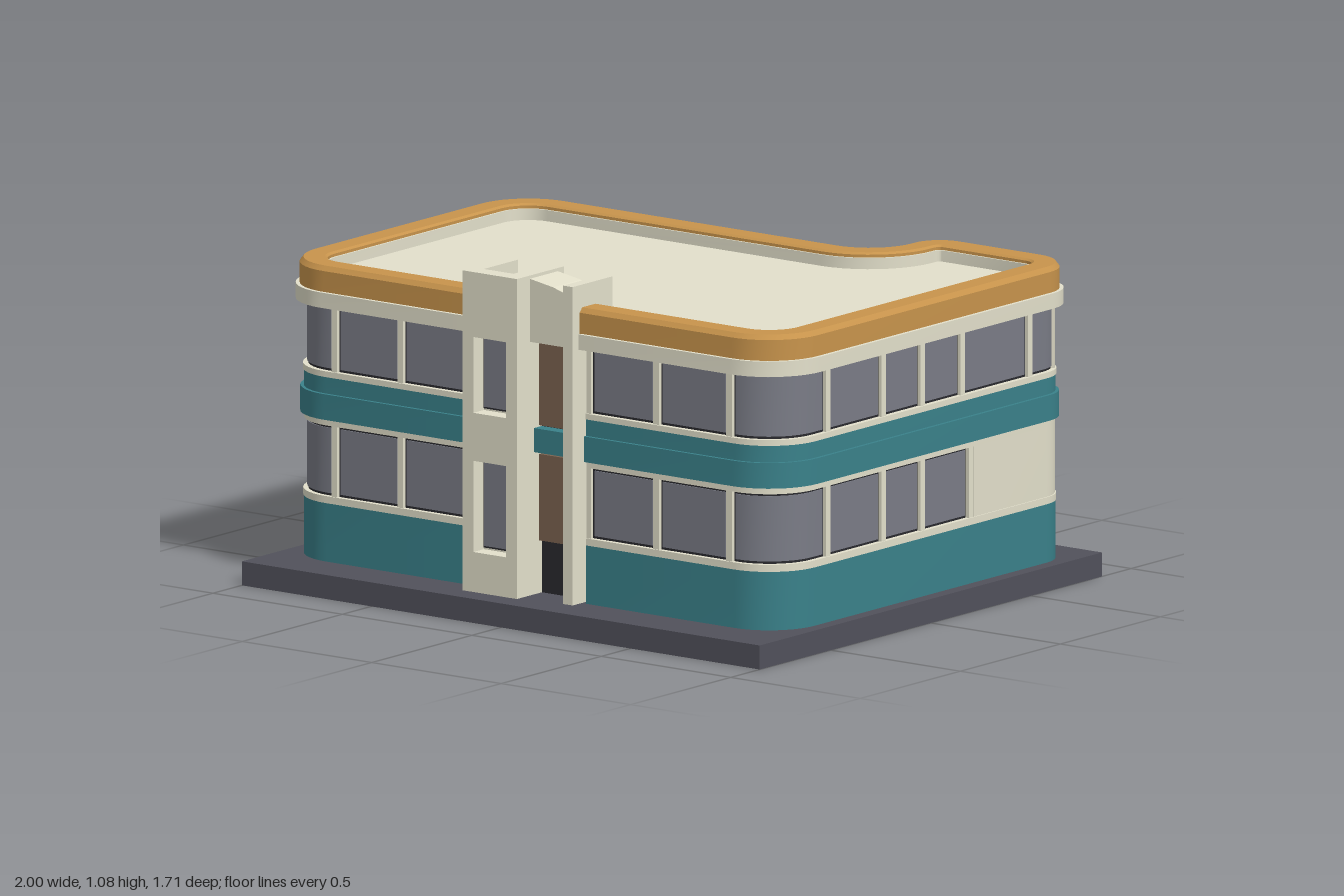
import * as THREE from 'three';
import { toCreasedNormals } from 'three/addons/utils/BufferGeometryUtils.js';

const mat = (name, color) => Object.assign(new THREE.MeshStandardMaterial({ color }), { name });
const M = {
  cream: mat('cream plaster', 0xe3e0cb),
  teal: mat('teal tile', 0x3a818a),
  ochre: mat('ochre parapet', 0xc8944c),
  slab: mat('slate slab', 0x51515b),
  glass: mat('grey glass', 0x7a7c86),
  dark: mat('dark frame', 0x2a2a2e),
  brown: mat('brown door', 0x7c6350),
  earth: mat('dark earth', 0x625244),
};

// Footprint in (x, -z), counterclockwise from the middle of the front.
// Each corner: centre x, centre y, radius, start and end angle in degrees.
const RIGHT = 0.952;
const CORNERS = [
  [RIGHT - 0.17, -0.525, 0.17, -90, 0],
  [RIGHT - 0.12, 0.635, 0.12, 0, 90],
  [0.52, 0.665, 0.09, 90, 180],
  [0.26, 0.65, 0.17, 0, -90], // concave
  [-0.795, 0.31, 0.17, 90, 180],
  [-0.795, -0.525, 0.17, 180, 270],
];
const path = [{ x: 0, y: -0.695, nx: 0, ny: -1 }];
for (const [cx, cy, r, a0, a1] of CORNERS) {
  const sign = a1 > a0 ? 1 : -1;
  for (let i = 0; i <= 10; i++) {
    const a = THREE.MathUtils.degToRad(a0 + ((a1 - a0) * i) / 10);
    const c = Math.cos(a), s = Math.sin(a);
    path.push({ x: cx + r * c, y: cy + r * s, nx: sign * c, ny: sign * s });
  }
}
path.push({ x: 0, y: -0.695, nx: 0, ny: -1 });
path.forEach((p, i) => {
  p.s = i ? path[i - 1].s + Math.hypot(p.x - path[i - 1].x, p.y - path[i - 1].y) : 0;
});
const LEN = path[path.length - 1].s;

// Point on the footprint at distance s
function pointAt(s) {
  let i = 1;
  while (i < path.length - 1 && path[i].s < s) i++;
  const a = path[i - 1], b = path[i], t = (s - a.s) / (b.s - a.s || 1);
  const mix = (k) => a[k] + (b[k] - a[k]) * t;
  return { x: mix('x'), y: mix('y'), nx: mix('nx'), ny: mix('ny'), s };
}

// Distance along the footprint of the point nearest to (x, z)
function at(x, z) {
  let best = 0, min = Infinity;
  for (let s = 0; s <= LEN; s += 0.004) {
    const p = pointAt(s), d = Math.hypot(p.x - x, p.y + z);
    if (d < min) { min = d; best = s; }
  }
  return best;
}

// Sweep a convex profile of [outward offset, height] along the footprint
function sweep(s0, s1, profile) {
  const pts = [pointAt(s0), ...path.filter((p) => p.s > s0 + 1e-4 && p.s < s1 - 1e-4), pointAt(s1)];
  const rings = pts.map((p) => profile.map(([d, y]) => [p.x + p.nx * d, y, -(p.y + p.ny * d)]));
  const pos = [], n = profile.length, last = rings[rings.length - 1];
  const tri = (...v) => v.forEach((q) => pos.push(...q));
  for (let i = 0; i < rings.length - 1; i++) {
    for (let j = 0; j < n; j++) {
      const k = (j + 1) % n, A = rings[i], B = rings[i + 1];
      tri(A[j], B[j], B[k]);
      tri(A[j], B[k], A[k]);
    }
  }
  for (let j = 1; j < n - 1; j++) {
    tri(rings[0][0], rings[0][j], rings[0][j + 1]);
    tri(last[0], last[j + 1], last[j]);
  }
  const g = new THREE.BufferGeometry();
  g.setAttribute('position', new THREE.Float32BufferAttribute(pos, 3));
  return toCreasedNormals(g, 0.5);
}

const footprint = (d) => new THREE.Shape(path.slice(0, -1).map((p) => new THREE.Vector2(p.x + p.nx * d, p.y + p.ny * d)));

export function createModel() {
  const model = new THREE.Group();
  model.name = 'cornerBuilding';
  const add = (name, geo, m, parent = model) => {
    const mesh = new THREE.Mesh(geo, m);
    mesh.name = name;
    parent.add(mesh);
    return mesh;
  };
  const box = (name, m, x0, x1, y0, y1, z0, z1, parent) =>
    add(name, new THREE.BoxGeometry(x1 - x0, y1 - y0, z1 - z0)
      .translate((x0 + x1) / 2, (y0 + y1) / 2, (z0 + z1) / 2), m, parent);
  const band = (name, m, s0, s1, y0, y1, d, inner = -0.05, parent = model) =>
    add(name, sweep(s0, s1, [[inner, y0], [d, y0], [d, y1], [inner, y1]]), m, parent);

  // Ground slab, hollow below, with the footprint on its underside
  box('slab', M.slab, -1, 1, 0.06, 0.075, -0.855, 0.855);
  for (const s of [-1, 1]) {
    box('slabSide', M.slab, s * 0.995 - 0.005, s * 0.995 + 0.005, 0, 0.06, -0.855, 0.855);
    box('slabEnd', M.slab, -0.99, 0.99, 0, 0.06, s * 0.85 - 0.005, s * 0.85 + 0.005);
  }
  add('underside', new THREE.ExtrudeGeometry(footprint(0), { depth: 0.006, bevelEnabled: false })
    .rotateX(-Math.PI / 2).translate(0, 0.056, 0), M.earth);

  // Walls and horizontal bands, open at the front entrance
  const S = 0.21, E = LEN - 0.23;
  const doorA = at(0.43, -0.655), doorB = at(0.22, -0.48);
  band('wall', M.cream, S, E, 0.075, 0.92, -0.014);
  band('baseSide', M.teal, S, doorA, 0.075, 0.258, 0.005);
  band('baseBack', M.teal, doorB, E - 0.02, 0.075, 0.258, 0.005);
  band('lowerSillSide', M.cream, S, doorA, 0.258, 0.28, 0.007);
  band('lowerSillBack', M.cream, doorB, E, 0.258, 0.28, 0.007);
  band('lowerLintel', M.cream, S, E, 0.5, 0.52, 0.004);
  band('middleBand', M.teal, S, E, 0.52, 0.6, 0.016);
  band('upperBase', M.teal, S, E, 0.6, 0.652, 0.005);
  band('upperSill', M.cream, S, E, 0.652, 0.67, 0.008);
  band('cornice', M.cream, 0.2, LEN - 0.2, 0.872, 0.92, 0.03);

  // Parapet with a plastered inner face, and the roof deck
  add('parapet', sweep(0.195, LEN - 0.2, [
    [-0.068, 0.915], [0.018, 0.915], [0.018, 0.985], [0.006, 1.0], [-0.06, 1.0], [-0.068, 0.994],
  ]), M.ochre);
  band('parapetLining', M.cream, 0.195, LEN - 0.2, 0.94, 0.985, -0.067, -0.074);
  add('roofDeck', new THREE.ShapeGeometry(footprint(-0.05)).rotateX(-Math.PI / 2).translate(0, 0.95, 0), M.cream);

  // A row of panes between the given posts
  function windows(name, posts, y0, y1) {
    const row = new THREE.Group();
    row.name = name;
    model.add(row);
    const w = 0.011;
    posts.forEach((s, i) => {
      band('mullion', M.cream, Math.max(S, s - w), Math.min(E, s + w), y0, y1, 0.003, -0.02, row);
      if (i === posts.length - 1) return;
      const a = s + w, b = posts[i + 1] - w;
      band('paneFrame', M.dark, a, b, y0, y1, -0.009, -0.016, row);
      band('pane', M.glass, a + 0.008, b - 0.008, y0 + 0.008, y1 - 0.008, -0.005, -0.01, row);
    });
  }
  const frontRight = [S + 0.005, 0.478, 0.76];
  const rightSide = [0.452, 0.178, -0.02].map((z) => at(RIGHT, z));
  const leftSide = [-0.27, 0.04, 0.33].map((z) => at(-0.965, z));
  const frontLeft = [LEN - 0.765, LEN - 0.51, E - 0.005];
  const back = (...xs) => xs.map((x) => at(x, -0.48));

  windows('lowerWindows', [...frontRight, ...rightSide, at(RIGHT, -0.26)], 0.28, 0.5);
  windows('lowerBackWindows', [doorB, ...back(0.06, -0.06, -0.18, -0.52, -0.8), ...leftSide, ...frontLeft], 0.28, 0.5);
  windows('upperWindows', [
    ...frontRight, ...rightSide, at(RIGHT, -0.22), at(RIGHT, -0.555), at(RIGHT - 0.025, -0.705),
    at(0.6, -0.755), at(0.43, -0.64), ...back(0.18, -0.17, -0.52, -0.8), ...leftSide, ...frontLeft,
  ], 0.67, 0.872);

  // Blank panel round the rear wing and the curved back entrance
  band('blankPanel', M.cream, at(RIGHT, -0.27), doorA, 0.28, 0.5, 0.003);
  band('backEntrance', M.dark, doorA, doorB, 0.075, 0.5, -0.01, -0.02);
  const doorMid = doorA + 0.18;
  band('backDoor', M.brown, doorA + 0.04, doorMid, 0.255, 0.49, -0.005, -0.012);
  band('backDoorGlass', M.glass, doorMid + 0.02, doorB - 0.02, 0.29, 0.49, -0.005, -0.012);

  // Front entrance recess
  box('recess', M.dark, -0.25, 0.215, 0.075, 0.92, 0.6, 0.65);
  for (const [y0, y1] of [[0.24, 0.51], [0.6, 0.87]]) box('entrancePanel', M.brown, 0, 0.156, y0, y1, 0.645, 0.665);
  box('entranceBand', M.teal, 0, 0.156, 0.52, 0.595, 0.64, 0.69);
  const hood = new THREE.Shape([[0, 0.868], [0.156, 0.868], [0.156, 1.03], [0.09, 1.05], [0, 1.065]].map((p) => new THREE.Vector2(...p)));
  add('entranceHood', new THREE.ExtrudeGeometry(hood, { depth: 0.14, bevelEnabled: false }).translate(0, 0, 0.57), M.cream);
  box('entrancePillar', M.cream, 0.155, 0.192, 0.075, 1.07, 0.545, 0.745);

  // Tower: channel-shaped, open to the back, with two deep windows
  const tower = new THREE.Group();
  tower.name = 'tower';
  model.add(tower);
  const rect = (P, x0, x1, y0, y1) => new P([[x0, y0], [x1, y0], [x1, y1], [x0, y1]].map((p) => new THREE.Vector2(...p)));
  const face = rect(THREE.Shape, -0.21, 0, 0.075, 1.075);
  for (const [y0, y1] of [[0.2, 0.485], [0.635, 0.872]]) {
    face.holes.push(rect(THREE.Path, -0.168, -0.042, y0, y1));
    box('towerWindowSurround', M.cream, -0.175, -0.035, y0 - 0.01, y1 + 0.01, 0.7, 0.722, tower);
    box('towerWindowFrame', M.dark, -0.168, -0.054, y0 + 0.006, y1 - 0.002, 0.721, 0.725, tower);
    box('towerWindow', M.glass, -0.162, -0.06, y0 + 0.012, y1 - 0.008, 0.724, 0.729, tower);
  }
  add('towerFace', new THREE.ExtrudeGeometry(face, { depth: 0.055, bevelEnabled: false }).translate(0, 0, 0.72), M.cream, tower);
  box('towerLeftWall', M.cream, -0.21, -0.17, 0.075, 1.075, 0.55, 0.72, tower);
  box('towerRightWall', M.cream, -0.055, 0, 0.075, 1.075, 0.54, 0.72, tower);
  box('towerRoof', M.cream, -0.17, -0.055, 0.92, 0.955, 0.6, 0.72, tower);
  return model;
}
